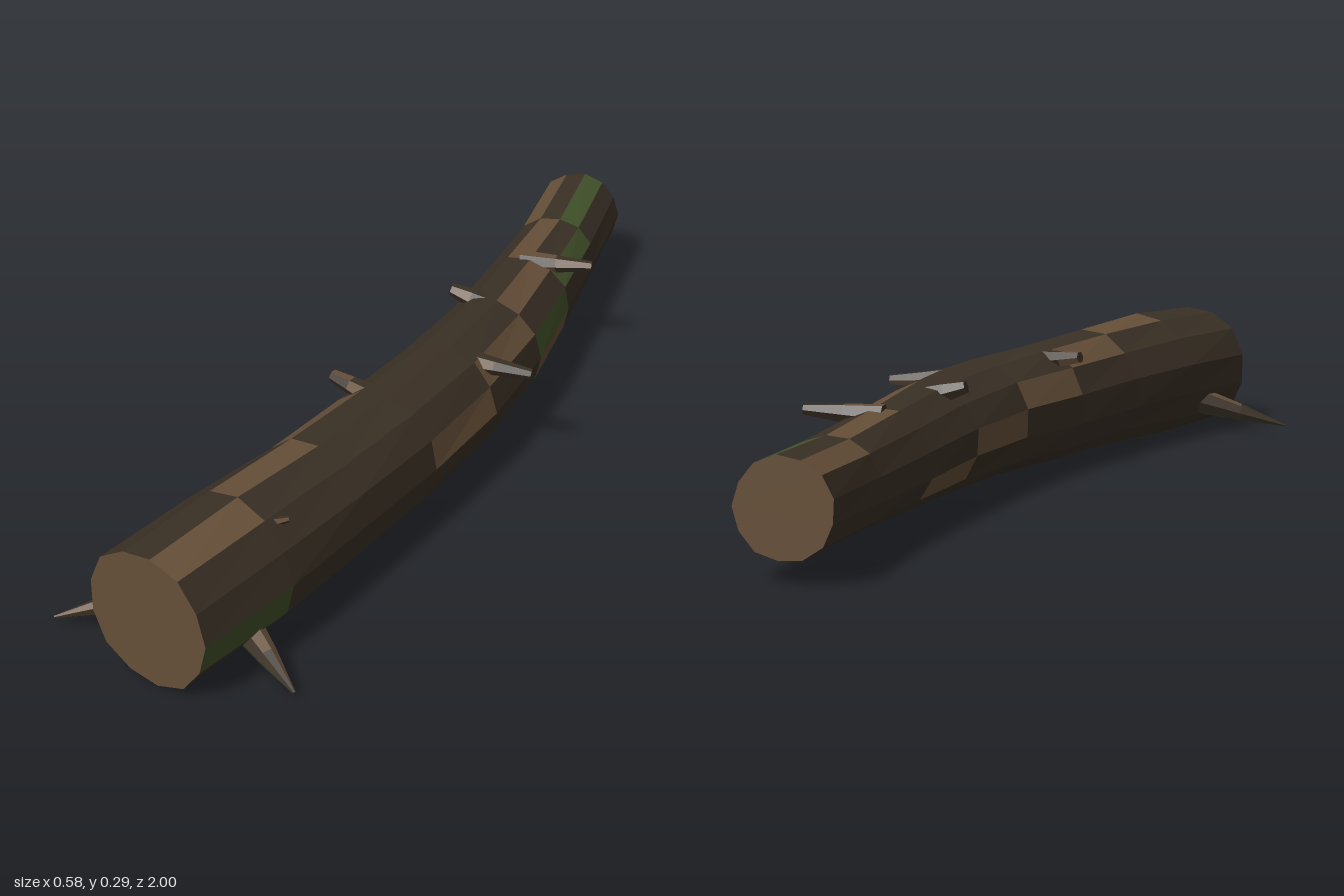
import * as THREE from 'three';

const materials = {};
function makeMaterial(name, color) {
  const m = new THREE.MeshStandardMaterial({ color });
  m.name = name;
  materials[name] = m;
}

// Loft rings of points into flat facets, one mesh per colour.
// colourOf(segment, side) gives the material name of each panel.
function loft(name, rings, colourOf, capColour) {
  const lists = {};
  const tri = (colour, ...pts) => {
    const list = (lists[colour] ??= []);
    pts.forEach(p => list.push(p.x, p.y, p.z));
  };
  const n = rings[0].length;
  for (let k = 0; k < rings.length - 1; k++) {
    for (let i = 0; i < n; i++) {
      const j = (i + 1) % n, a = rings[k], b = rings[k + 1], c = colourOf(k, i);
      tri(c, a[i], b[i], b[j]);
      tri(c, a[i], b[j], a[j]);
    }
  }
  // End caps
  const first = rings[0], last = rings[rings.length - 1];
  for (let i = 1; i < n - 1; i++) {
    tri(capColour, first[0], first[i], first[i + 1]);
    tri(capColour, last[0], last[i + 1], last[i]);
  }
  const group = new THREE.Group();
  group.name = name;
  for (const [colour, list] of Object.entries(lists)) {
    const g = new THREE.BufferGeometry();
    g.setAttribute('position', new THREE.Float32BufferAttribute(list, 3));
    g.computeVertexNormals();
    const mesh = new THREE.Mesh(g, materials[colour]);
    mesh.name = `${name} ${colour}`;
    group.add(mesh);
  }
  return group;
}

// Ring of points round a centre; dir points back towards the first ring
function ring(centre, dir, radius, sides, wobble = () => 1) {
  const side = new THREE.Vector3(0, 1, 0).cross(dir).normalize();
  const up = dir.clone().cross(side).normalize();
  return Array.from({ length: sides }, (_, i) => {
    const t = (i / sides) * Math.PI * 2, r = radius * wobble(i);
    return centre.clone().addScaledVector(side, Math.cos(t) * r).addScaledVector(up, Math.sin(t) * r);
  });
}

// Tapering twig through a base, middle and tip
function twig(name, base, tip, radii, sides, colourOf) {
  const a = new THREE.Vector3(...base), b = new THREE.Vector3(...tip);
  const dir = a.clone().sub(b).normalize();
  const rings = radii.map((r, k) => ring(a.clone().lerp(b, k / (radii.length - 1)), dir, r, sides));
  return loft(name, rings, colourOf, 'bark');
}

export function createModel() {
  makeMaterial('bark', 0x3a3025);
  makeMaterial('wood', 0x664f38);
  makeMaterial('moss', 0x42522a);
  const model = new THREE.Group();
  model.name = 'fallenLog';

  // Trunk: x, y, z, radius of each ring from front to back
  const spine = [
    [-0.025, 0.146, 0.97, 0.143], [0.018, 0.149, 0.73, 0.146], [0.057, 0.148, 0.485, 0.138],
    [0.086, 0.144, 0.245, 0.136], [0.106, 0.147, 0, 0.129], [0.1, 0.145, -0.25, 0.12],
    [0.072, 0.141, -0.495, 0.11], [0.042, 0.139, -0.74, 0.1], [0.002, 0.147, -0.985, 0.098],
  ];
  const points = spine.map(s => new THREE.Vector3(s[0], s[1], s[2]));
  const trunkRings = spine.map((s, k) => {
    const dir = points[Math.max(k - 1, 0)].clone().sub(points[Math.min(k + 1, 8)]);
    dir.y = 0;
    return ring(points[k], dir.normalize(), s[3], 13, i => 1 + 0.018 * Math.sin(i * 4.1 + k * 1.7));
  });
  // Bark panels in other colours, as 'segment,side'
  const wood = new Set(['0,2', '1,3', '2,4', '3,0', '4,1', '4,11', '5,2', '5,12', '6,3', '7,4',
    '3,5', '4,6', '3,10', '2,9', '5,7']);
  const moss = new Set(['0,12', '5,0', '6,1', '7,2']);
  const panel = (k, i) => wood.has(`${k},${i}`) ? 'wood' : moss.has(`${k},${i}`) ? 'moss' : 'bark';
  model.add(loft('trunk', trunkRings, panel, 'wood'));

  // Pointed roots at the thick end
  const rootColour = green => (k, i) => (i === 2 || (k === 0 && i === 1)) ? 'wood' : i === green ? 'moss' : 'bark';
  model.add(twig('rightRoot', [-0.09, 0.085, 0.8], [-0.29, 0.02, 0.895], [0.034, 0.021, 0.003], 7, rootColour(5)));
  model.add(twig('leftRoot', [0.08, 0.078, 0.81], [0.24, 0.02, 0.895], [0.034, 0.021, 0.003], 7, rootColour(6)));

  // Short broken branch stubs
  const stubs = [
    [[0.06, 0.234, -0.505], [0.22, 0.243, -0.54], [0.027, 0.02, 0.011]],
    [[0.13, 0.238, -0.025], [0.29, 0.228, -0.05], [0.028, 0.019, 0.011]],
    [[0.09, 0.235, -0.275], [0, 0.262, -0.262], [0.027, 0.022, 0.014]],
    [[0.045, 0.25, 0.215], [-0.05, 0.265, 0.2], [0.025, 0.019, 0.013]],
    [[0.06, 0.25, 0.76], [0.125, 0.255, 0.7], [0.02, 0.013, 0.006]],
  ];
  stubs.forEach(([base, tip, radii], s) => {
    model.add(twig(`branchStub${s + 1}`, base, tip, radii, 6, (k, i) => (i + k + s) % 4 === 1 ? 'wood' : 'bark'));
  });
  return model;
}
